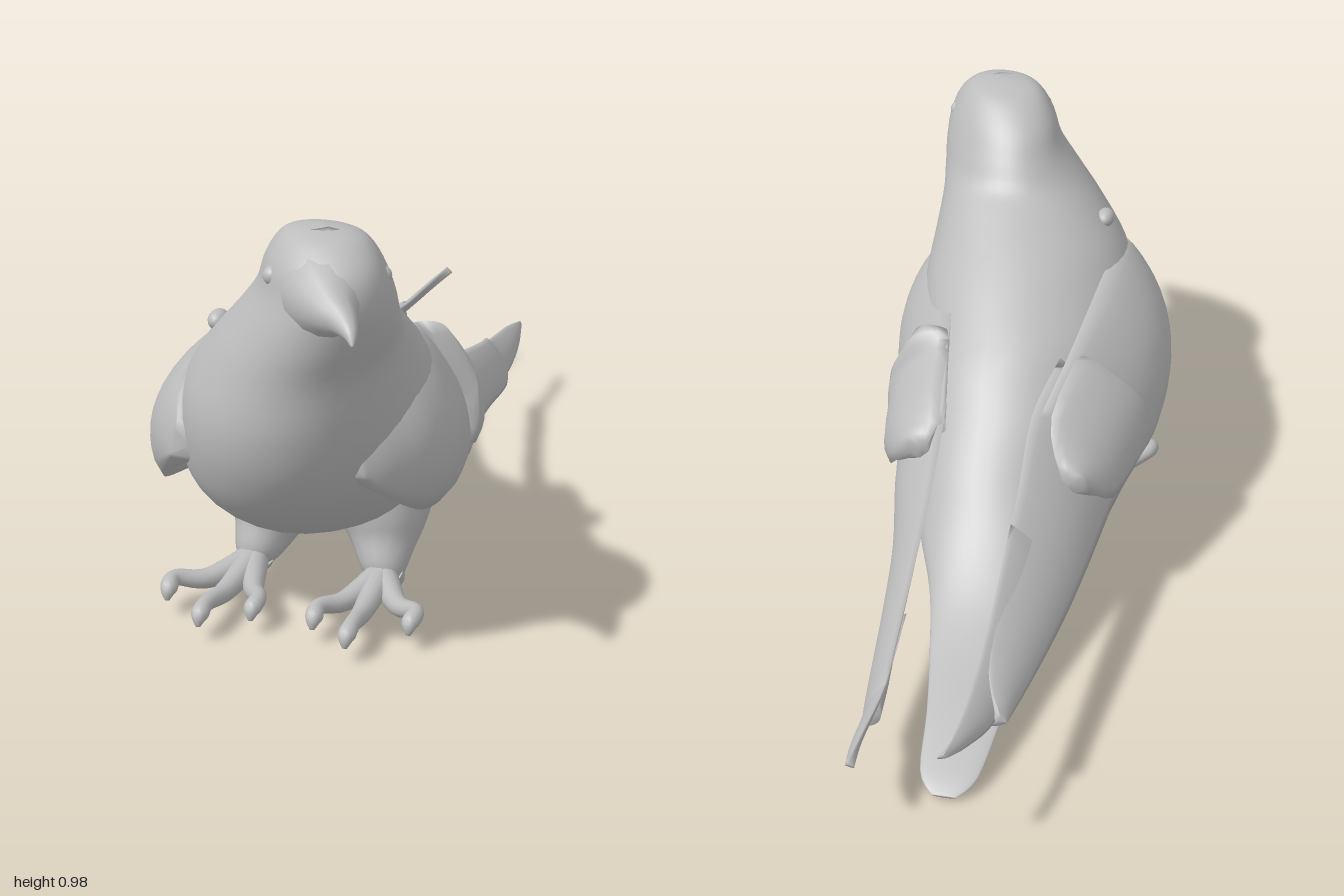
import * as THREE from 'three';

const plumage = new THREE.MeshStandardMaterial({ color: 0xbcbcbc, side: THREE.DoubleSide });
plumage.name = 'plain grey';

// Catmull-Rom interpolation of every column of a station table
function smooth(rows, steps) {
  const out = [];
  const at = i => rows[Math.max(0, Math.min(rows.length - 1, i))];
  for (let i = 0; i < rows.length - 1; i++) {
    for (let k = 0; k < steps; k++) {
      const t = k / steps;
      out.push(rows[i].map((b, c) => {
        const a = at(i - 1)[c], d = at(i + 1)[c], e = at(i + 2)[c];
        return b + 0.5 * t * (d - a + t * (2 * a - 5 * b + 4 * d - e + t * (3 * (b - d) + e - a)));
      }));
    }
  }
  out.push(rows[rows.length - 1]);
  return out;
}

// Skin closed rings of points and cap both ends
function loft(name, rings) {
  const n = rings[0].length, pos = [], idx = [];
  rings.forEach(r => r.forEach(p => pos.push(p.x, p.y, p.z)));
  for (let i = 0; i < rings.length - 1; i++) {
    for (let j = 0; j < n; j++) {
      const a = i * n + j, b = i * n + (j + 1) % n;
      idx.push(a, b, a + n, b, b + n, a + n);
    }
  }
  [0, rings.length - 1].forEach((r, end) => {
    const c = new THREE.Vector3();
    rings[r].forEach(p => c.addScaledVector(p, 1 / n));
    const centre = pos.length / 3;
    pos.push(c.x, c.y, c.z);
    for (let j = 0; j < n; j++) {
      const a = r * n + j, b = r * n + (j + 1) % n;
      if (end) idx.push(a, b, centre); else idx.push(b, a, centre);
    }
  });
  const g = new THREE.BufferGeometry();
  g.setAttribute('position', new THREE.Float32BufferAttribute(pos, 3));
  g.setIndex(idx);
  g.computeVertexNormals();
  const mesh = new THREE.Mesh(g, plumage);
  mesh.name = name;
  return mesh;
}

// Tapered round limb; rows are x, y, z, radius
function limb(name, rows) {
  const s = smooth(rows, 5), up = new THREE.Vector3(0.3, 0.9, 0.1);
  const P = s.map(r => new THREE.Vector3(r[0], r[1], r[2]));
  return loft(name, P.map((p, i) => {
    const dir = P[Math.min(i + 1, P.length - 1)].clone().sub(P[Math.max(i - 1, 0)]).normalize();
    const u = new THREE.Vector3().crossVectors(dir, up).normalize();
    const v = new THREE.Vector3().crossVectors(dir, u);
    return Array.from({ length: 14 }, (_, k) => {
      const a = k / 14 * Math.PI * 2;
      return p.clone().addScaledVector(u, Math.cos(a) * s[i][3]).addScaledVector(v, Math.sin(a) * s[i][3]);
    });
  }));
}

// Curved wing layer, fullest below its middle; rows are z, top x, top y, bottom x, bottom y, bulge
function wingLayer(name, side, rows, thick, steps = 4) {
  const N = 12;
  return loft(name, smooth(rows, steps).map(([z, tx, ty, bx, by, bulge]) => {
    const dx = bx - tx, dy = by - ty, len = Math.hypot(dx, dy) || 1;
    const point = (t, depth) => {
      const off = depth * Math.pow(Math.max(0, Math.sin(Math.PI * Math.pow(t, 1.15))), 0.65);
      return new THREE.Vector3(side * (tx + dx * t - dy / len * off), ty + dy * t + dx / len * off, z);
    };
    const ring = [];
    for (let i = 0; i <= N; i++) ring.push(point(i / N, bulge));
    for (let i = N - 1; i > 0; i--) ring.push(point(i / N, bulge - thick));
    return ring;
  }));
}

function ball(name, x, y, z, r, stretch = 1) {
  const m = new THREE.Mesh(new THREE.SphereGeometry(r, 16, 12), plumage);
  m.name = name;
  m.position.set(x, y, z);
  m.scale.z = stretch;
  return m;
}

export function createModel() {
  const bird = new THREE.Group();
  bird.name = 'bird';

  // Head, breast, back and tail: back z, y, x, belly z, y, x, half width
  const body = [
    [0.75, 0.985, 0.135, 0.76, 0.985, 0.14, 0.004],
    [0.71, 0.977, 0.13, 0.805, 0.98, 0.15, 0.058],
    [0.66, 0.958, 0.12, 0.85, 0.962, 0.165, 0.094],
    [0.597, 0.91, 0.10, 0.905, 0.915, 0.185, 0.125],
    [0.55, 0.85, 0.09, 0.918, 0.85, 0.185, 0.146],
    [0.512, 0.80, 0.08, 0.912, 0.77, 0.145, 0.172],
    [0.45, 0.765, 0.07, 0.90, 0.68, 0.09, 0.197],
    [0.35, 0.715, 0.045, 0.895, 0.56, 0.05, 0.235],
    [0.25, 0.66, 0.03, 0.86, 0.45, 0.03, 0.258],
    [0.15, 0.60, 0.01, 0.78, 0.345, 0.01, 0.266],
    [0.08, 0.55, 0.01, 0.63, 0.25, 0, 0.258],
    [0.0, 0.48, 0, 0.45, 0.18, 0, 0.243],
    [-0.1, 0.38, 0, 0.25, 0.125, -0.01, 0.213],
    [-0.2, 0.28, -0.02, 0.0, 0.13, -0.02, 0.178],
    [-0.32, 0.195, -0.04, -0.2, 0.135, -0.04, 0.138],
    [-0.45, 0.14, -0.05, -0.42, 0.105, -0.05, 0.106],
    [-0.6, 0.095, -0.06, -0.6, 0.075, -0.06, 0.083],
    [-0.74, 0.045, -0.06, -0.74, 0.03, -0.06, 0.064],
    [-0.79, 0.02, -0.06, -0.79, 0.014, -0.06, 0.027],
  ];
  bird.add(loft('body', smooth(body, 4).map(([bz, by, bx, fz, fy, fx, w]) =>
    Array.from({ length: 40 }, (_, k) => {
      const a = k / 40 * Math.PI * 2, c = Math.cos(a) / 2;
      return new THREE.Vector3((bx + fx) / 2 + (fx - bx) * c + w * Math.sin(a),
        (by + fy) / 2 + (fy - by) * c, (bz + fz) / 2 + (fz - bz) * c);
    }))));

  // Hooked beak blending into the face, eyes and a shoulder tuft
  bird.add(limb('beak', [[0.155, 0.868, 0.78, 0.12], [0.185, 0.865, 0.86, 0.086], [0.217, 0.862, 0.915, 0.052],
    [0.248, 0.856, 0.95, 0.029], [0.271, 0.845, 0.98, 0.015], [0.282, 0.828, 1.0, 0.003]]));
  bird.add(ball('leftEye', 0.262, 0.89, 0.755, 0.02), ball('rightEye', 0.062, 0.893, 0.83, 0.02));
  bird.add(ball('shoulderTuft', -0.14, 0.706, 0.61, 0.022, 1.4));

  // Left wing, held low
  bird.add(wingLayer('leftShoulder', 1, [
    [0.76, 0.215, 0.52, 0.225, 0.46, 0], [0.71, 0.215, 0.6, 0.255, 0.4, 0.035],
    [0.6, 0.215, 0.65, 0.29, 0.33, 0.075], [0.45, 0.2, 0.65, 0.287, 0.28, 0.09],
    [0.3, 0.17, 0.62, 0.272, 0.25, 0.08], [0.15, 0.15, 0.57, 0.255, 0.235, 0.06],
    [0, 0.13, 0.45, 0.235, 0.217, 0.03]], 0.1));
  bird.add(wingLayer('leftFlightFeathers', 1, [
    [0.15, 0.14, 0.54, 0.25, 0.237, 0.056], [0, 0.125, 0.45, 0.235, 0.215, 0.045],
    [-0.2, 0.11, 0.37, 0.195, 0.19, 0.03], [-0.4, 0.1, 0.31, 0.17, 0.165, 0.022],
    [-0.6, 0.09, 0.26, 0.15, 0.13, 0.018], [-0.69, 0.085, 0.24, 0.14, 0.12, 0.015],
    [-0.73, 0.1, 0.2, 0.13, 0.13, 0.01]], 0.035));
  bird.add(wingLayer('leftWingTip', 1, [
    [-0.5, 0.09, 0.27, 0.15, 0.16, 0.012], [-0.7, 0.085, 0.232, 0.135, 0.14, 0.01],
    [-0.85, 0.095, 0.22, 0.125, 0.155, 0.01], [-0.94, 0.108, 0.205, 0.112, 0.195, 0]], 0.02));
  bird.add(wingLayer('leftCoverts', 1, [
    [0.19, 0.16, 0.59, 0.225, 0.52, 0.05], [0.165, 0.15, 0.58, 0.285, 0.4, 0.06],
    [0.15, 0.145, 0.57, 0.28, 0.3, 0.066], [0.05, 0.14, 0.52, 0.27, 0.29, 0.058],
    [-0.03, 0.13, 0.47, 0.235, 0.35, 0.04], [-0.06, 0.155, 0.43, 0.19, 0.4, 0.025]], 0.06, 2));

  // Right wing, held higher
  bird.add(wingLayer('rightShoulder', -1, [
    [0.77, 0.175, 0.52, 0.185, 0.46, 0], [0.71, 0.18, 0.6, 0.23, 0.4, 0.035],
    [0.6, 0.175, 0.64, 0.275, 0.33, 0.07], [0.45, 0.17, 0.65, 0.298, 0.28, 0.09],
    [0.3, 0.16, 0.63, 0.3, 0.25, 0.084], [0.15, 0.14, 0.58, 0.28, 0.24, 0.056],
    [0, 0.1, 0.49, 0.265, 0.24, 0.022]], 0.1));
  bird.add(wingLayer('rightFlightFeathers', -1, [
    [0.15, 0.12, 0.57, 0.275, 0.242, 0.052], [0, 0.085, 0.5, 0.265, 0.235, 0.036],
    [-0.2, 0.095, 0.42, 0.255, 0.23, 0.026], [-0.4, 0.105, 0.37, 0.24, 0.225, 0.022],
    [-0.6, 0.12, 0.33, 0.22, 0.23, 0.018], [-0.74, 0.15, 0.3, 0.205, 0.24, 0.012],
    [-0.8, 0.185, 0.27, 0.2, 0.25, 0]], 0.035));
  bird.add(wingLayer('rightWingTip', -1, [
    [-0.3, 0.1, 0.4, 0.2, 0.28, 0.015], [-0.6, 0.115, 0.335, 0.19, 0.25, 0.012],
    [-0.8, 0.122, 0.315, 0.175, 0.25, 0.01], [-0.92, 0.12, 0.312, 0.145, 0.275, 0.008],
    [-1, 0.115, 0.315, 0.12, 0.305, 0]], 0.02));
  bird.add(wingLayer('rightCoverts', -1, [
    [0.21, 0.23, 0.5, 0.305, 0.36, 0.045], [0.175, 0.17, 0.57, 0.31, 0.31, 0.06],
    [0.1, 0.15, 0.56, 0.3, 0.3, 0.052], [0, 0.13, 0.5, 0.28, 0.3, 0.04],
    [-0.06, 0.15, 0.44, 0.25, 0.34, 0.03], [-0.09, 0.18, 0.41, 0.22, 0.37, 0.025]], 0.06, 2));

  // Legs and clawed feet
  for (const s of [1, -1]) {
    const leg = new THREE.Group();
    leg.name = s > 0 ? 'leftLeg' : 'rightLeg';
    leg.add(limb('thigh', [[s * 0.11, 0.28, 0.28, 0.14], [s * 0.13, 0.18, 0.325, 0.1],
      [s * 0.14, 0.125, 0.355, 0.072], [s * 0.15, 0.075, 0.395, 0.045], [s * 0.15, 0.05, 0.42, 0.01]]));
    for (const [x, y, z] of [[0.07, 0.058, 0.63], [0.165, 0.06, 0.695], [0.275, 0.062, 0.6]]) {
      const mx = 0.15 + (x - 0.15) * 0.55, mz = 0.42 + (z - 0.42) * 0.5;
      leg.add(limb('toe', [[s * 0.15, 0.07, 0.4, 0.034], [s * mx, 0.058, mz, 0.023],
        [s * x, y + 0.012, z - 0.04, 0.018], [s * x, y + 0.003, z, 0.019], [s * x, y - 0.02, z + 0.012, 0.005]]));
    }
    leg.add(limb('hindToe', [[s * 0.15, 0.08, 0.39, 0.045], [s * 0.155, 0.045, 0.35, 0.032],
      [s * 0.155, 0.022, 0.33, 0.018], [s * 0.155, 0.006, 0.32, 0.004]]));
    bird.add(leg);
  }
  return bird;
}
